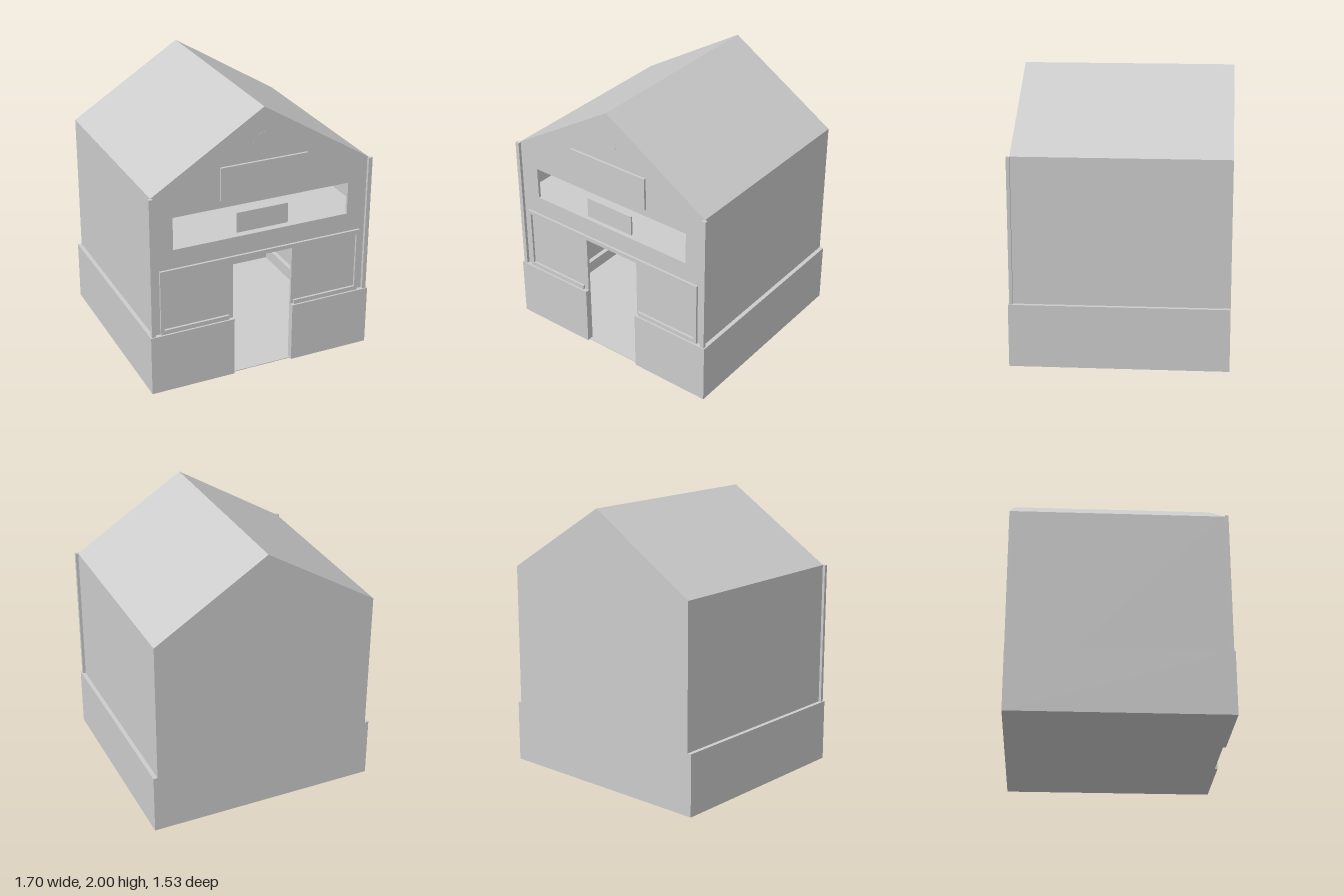
import * as THREE from 'three';

const BACK = -0.765, FRONT = 0.735, WALL = 0.02;

export function createModel() {
  const model = new THREE.Group();
  const material = new THREE.MeshStandardMaterial({ color: 0xcccccc, flatShading: true });

  const add = (name, geometry, parent = model) => {
    const mesh = new THREE.Mesh(geometry, material);
    mesh.name = name;
    parent.add(mesh);
    return mesh;
  };
  // Box given by its minimum and maximum on each axis
  const block = (name, x0, x1, y0, y1, z0, z1, parent) => {
    const mesh = add(name, new THREE.BoxGeometry(x1 - x0, y1 - y0, z1 - z0), parent);
    mesh.position.set((x0 + x1) / 2, (y0 + y1) / 2, (z0 + z1) / 2);
    return mesh;
  };
  const outline = (points, Type = THREE.Shape) => new Type(points.map(([x, y]) => new THREE.Vector2(x, y)));
  const extrude = (name, shape, z0, z1) => {
    const geometry = new THREE.ExtrudeGeometry(shape, { depth: z1 - z0, bevelEnabled: false });
    geometry.translate(0, 0, z0);
    return add(name, geometry);
  };
  const gable = [[-0.82, 0], [0.82, 0], [0.82, 1.49], [0, 2], [-0.82, 1.49]];

  // Side walls, floor and roof as one hollow sleeve
  const shell = outline(gable);
  shell.holes.push(outline([[-0.8, 0.005], [-0.8, 1.478], [0, 1.976], [0.8, 1.478], [0.8, 0.005]], THREE.Path));
  extrude('wallsAndRoof', shell, BACK + WALL, FRONT - WALL);
  extrude('backWall', outline(gable), BACK, BACK + WALL);

  // Front wall with the doorway and the wide upper opening
  const facade = outline([
    [-0.82, 0], [-0.22, 0], [-0.22, 0.905], [0.235, 0.905], [0.235, 0],
    [0.82, 0], [0.82, 1.49], [0, 2], [-0.82, 1.49],
  ]);
  facade.holes.push(outline([[-0.665, 1.08], [-0.665, 1.32], [0.665, 1.32], [0.665, 1.08]], THREE.Path));
  extrude('frontWall', facade, FRONT - WALL, FRONT);

  block('doorSill', -0.22, 0.235, 0, 0.005, FRONT - WALL, 0.745);
  block('upperFloor', -0.8, 0.8, 1.06, 1.08, BACK + WALL, FRONT - WALL);

  // Raised plinth around the sides and the front
  for (const s of [-1, 1]) {
    const side = block('plinthSide', 0.82, 0.85, 0, 0.45, BACK, 0.765);
    side.position.x *= s;
    const post = block('cornerPost', 0.81, 0.84, 0.45, 1.49, FRONT - 0.002, 0.757);
    post.position.x *= s;
  }
  block('plinthFront', -0.82, -0.22, 0, 0.45, FRONT, 0.765);
  block('plinthFront', 0.235, 0.82, 0, 0.45, FRONT, 0.765);

  // Shop front trim
  block('trimTop', -0.77, 0.77, 0.91, 0.94, FRONT, 0.752);
  for (const s of [-1, 1]) {
    const upright = block('trimUpright', 0.745, 0.77, 0.45, 0.91, FRONT, 0.752);
    upright.position.x *= s;
    const sill = block('windowSill', 0.255, 0.745, 0.45, 0.482, FRONT, 0.752);
    sill.position.x *= s;
  }

  // Sign boards and the flush gable disc
  block('upperSign', -0.32, 0.33, 1.375, 1.62, FRONT, 0.752);
  block('openingSign', -0.195, 0.195, 1.11, 1.26, FRONT - 0.015, FRONT);
  const disc = add('gableDisc', new THREE.CylinderGeometry(0.08, 0.08, 0.01, 32));
  disc.rotation.x = Math.PI / 2;
  disc.position.set(0, 1.74, FRONT - 0.004);

  // Low ledge along the inner walls
  block('ledgeBack', -0.8, 0.8, 0.005, 0.1, BACK + WALL, BACK + 0.06);
  block('ledgeLeft', 0.765, 0.8, 0.005, 0.1, BACK + 0.06, FRONT - WALL);
  block('ledgeRight', -0.8, -0.765, 0.005, 0.1, BACK + 0.06, FRONT - WALL);

  // Small placards standing on the ledge
  const placard = (x, z, turn) => {
    const group = new THREE.Group();
    group.name = 'placard';
    block('placardStem', -0.006, 0.006, 0, 0.1, -0.006, 0.006, group);
    block('placardBoard', -0.048, 0.048, 0.09, 0.155, -0.006, 0.008, group);
    group.position.set(x, 0.1, z);
    group.rotation.y = turn;
    model.add(group);
  };
  placard(0.06, BACK + 0.04, 0);
  placard(-0.785, -0.25, Math.PI / 2);
  placard(0.785, -0.25, -Math.PI / 2);

  return model;
}
